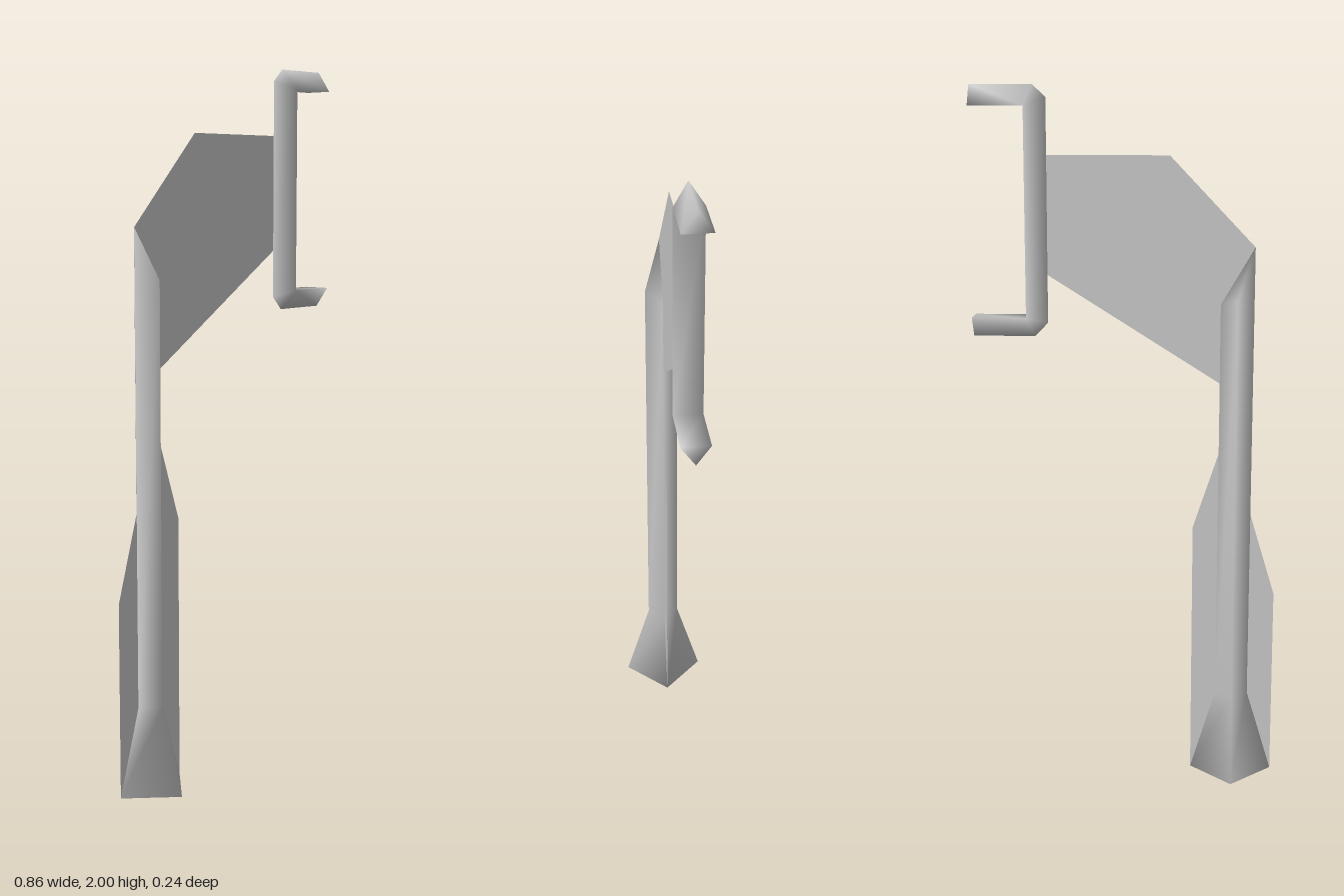
import * as THREE from 'three';
import { mergeVertices } from 'three/addons/utils/BufferGeometryUtils.js';

// Skins a list of equal-sized rings of [x, y, z] points, with capped ends and smooth normals
function loft(rings) {
  const n = rings[0].length;
  const last = (rings.length - 1) * n;
  const index = [];
  for (let i = 0; i < rings.length - 1; i++) {
    for (let j = 0; j < n; j++) {
      const a = i * n + j;
      const b = i * n + (j + 1) % n;
      index.push(a, b, b + n, a, b + n, a + n);
    }
  }
  for (let k = 1; k < n - 1; k++) {
    index.push(0, k + 1, k, last, last + k, last + k + 1);
  }
  let geometry = new THREE.BufferGeometry();
  geometry.setAttribute('position', new THREE.Float32BufferAttribute(rings.flat(2), 3));
  geometry.setIndex(index);
  geometry = mergeVertices(geometry);
  geometry.computeVertexNormals();
  return geometry;
}

// Flat plate in the z = 0 plane
function plate(points) {
  return new THREE.ShapeGeometry(new THREE.Shape(points.map(([x, y]) => new THREE.Vector2(x, y))));
}

export function createModel() {
  const group = new THREE.Group();
  const grey = new THREE.MeshStandardMaterial({ color: 0xcccccc, side: THREE.DoubleSide });
  grey.name = 'light grey';
  const add = (name, geometry) => {
    const mesh = new THREE.Mesh(geometry, grey);
    mesh.name = name;
    group.add(mesh);
  };

  // Diamond-section pole with a flared foot and a slanted top
  const cx = -0.312;
  const diamond = (r, yRight, ySide = yRight, yLeft = yRight) =>
    [[cx + r, yRight, 0], [cx, ySide, -r], [cx - r, yLeft, 0], [cx, ySide, r]];
  add('pole', loft([
    diamond(0.119, 0),
    diamond(0.047, 0.24),
    diamond(0.047, 1.4, 1.42, 1.56),
  ]));

  // Fins on both sides of the lower pole
  add('leftFin', plate([[-0.193, 0], [-0.193, 0.75], [-0.265, 0.97], [cx, 0.97], [cx, 0]]));
  add('rightFin', plate([[-0.431, 0], [cx, 0], [cx, 0.79], [-0.359, 0.79], [-0.431, 0.55]]));

  // Web plate carrying the bracket
  add('webPlate', plate([
    [-0.359, 1.56], [-0.265, 1.4], [-0.265, 1.175], [0.22, 1.48], [0.22, 1.81], [-0.12, 1.81],
  ]));

  // C-shaped bracket of triangular section: outer ridge point, inner edge point
  const path = [
    [0.43, 2, 0.43, 1.943],
    [0.257, 2, 0.278, 1.943],
    [0.22, 1.965, 0.278, 1.943],
    [0.22, 1.345, 0.278, 1.363],
    [0.257, 1.307, 0.278, 1.363],
    [0.43, 1.307, 0.43, 1.363],
  ];
  add('bracket', loft(path.map(([ox, oy, ix, iy]) =>
    [[ox, oy, 0], [ix, iy, -0.04], [ix, iy, 0.04]])));

  return group;
}
